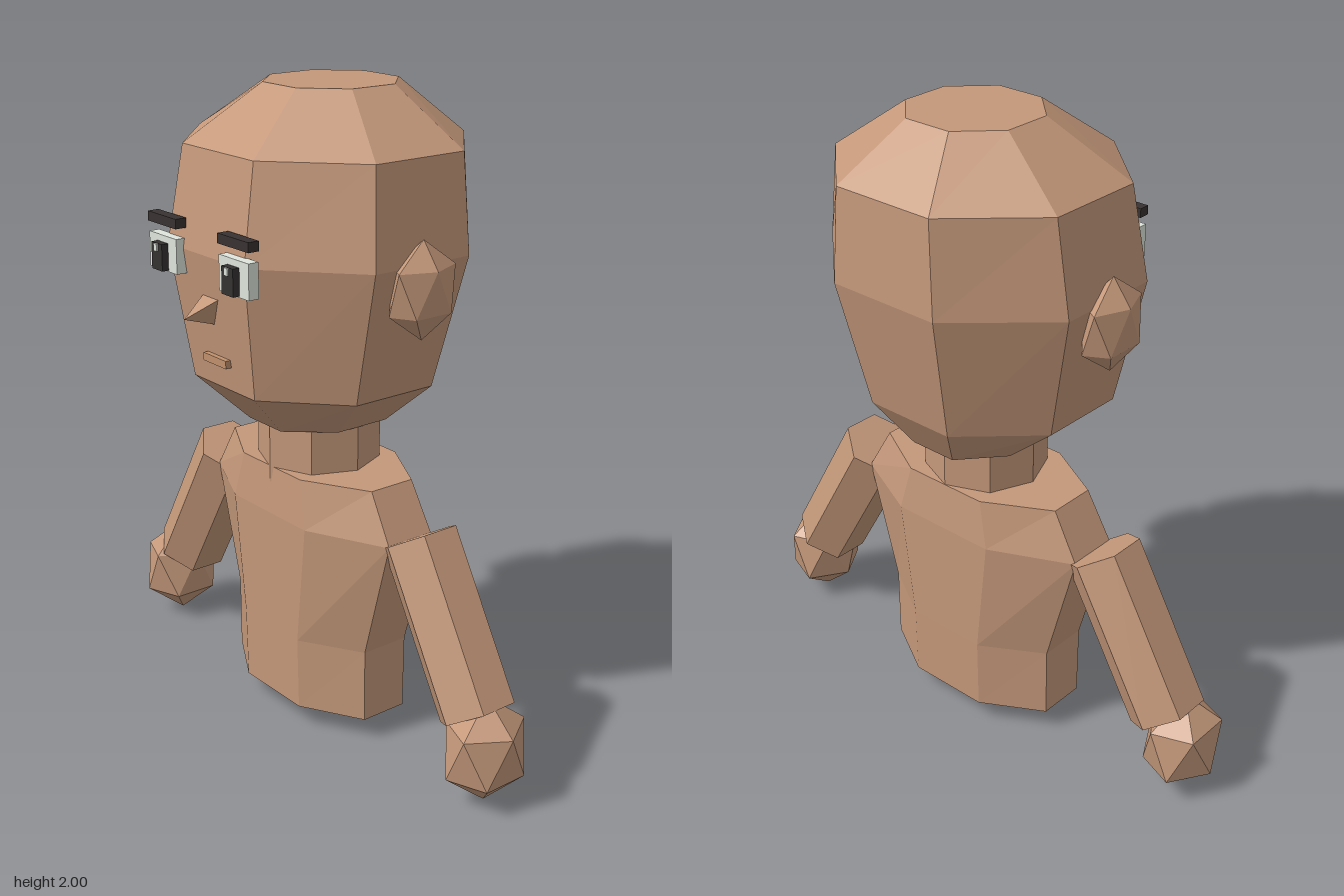
import * as THREE from 'three';

const flat = (name, color) => {
  const m = new THREE.MeshStandardMaterial({ color, flatShading: true });
  m.name = name;
  return m;
};

// Closed eight-sided loft; each ring is [y, half width, half depth, centre z], bottom to top
function octagonLoft(rings) {
  const pos = [];
  const point = ([y, hx, hz, cz], i) => {
    const a = (i + 0.5) * Math.PI / 4, k = 1 / Math.cos(Math.PI / 8);
    return [Math.cos(a) * hx * k, y, Math.sin(a) * hz * k + cz];
  };
  const tri = (...pts) => pts.forEach((p) => pos.push(...p));
  const last = rings[rings.length - 1], first = rings[0];
  for (let i = 0; i < 8; i++) {
    for (let r = 0; r < rings.length - 1; r++) {
      const a = point(rings[r], i), b = point(rings[r], i + 1);
      const c = point(rings[r + 1], i), d = point(rings[r + 1], i + 1);
      tri(a, c, b);
      tri(b, c, d);
    }
    tri([0, last[0], last[3]], point(last, i + 1), point(last, i));
    tri([0, first[0], first[3]], point(first, i), point(first, i + 1));
  }
  const g = new THREE.BufferGeometry();
  g.setAttribute('position', new THREE.Float32BufferAttribute(pos, 3));
  g.computeVertexNormals();
  return g;
}

// Icosahedron standing on a corner, with an upper corner turned towards +x or -x
function facetedBall(rx, ry, rz, side) {
  const g = new THREE.IcosahedronGeometry(1, 0);
  g.rotateX(-Math.atan((1 + Math.sqrt(5)) / 2));
  g.rotateY(side * Math.PI / 2);
  g.scale(rx, ry, rz);
  return g;
}

export function createModel() {
  const model = new THREE.Group();
  model.name = 'bust';
  const skin = flat('skin', 0xc4987a);
  const lip = flat('lip', 0xc0906c);
  const eyeWhite = flat('eyeWhite', 0xdfe5dc);
  const dark = flat('dark', 0x353131);
  const browColor = flat('brow', 0x3a3232);

  const add = (name, geometry, material, x = 0, y = 0, z = 0) => {
    const mesh = new THREE.Mesh(geometry, material);
    mesh.name = name;
    mesh.position.set(x, y, z);
    model.add(mesh);
    return mesh;
  };
  const box = (name, material, x, y, z, w, h, d) =>
    add(name, new THREE.BoxGeometry(w, h, d), material, x, y, z);
  const cx = -0.006;

  // Head, neck and torso
  add('head', octagonLoft([
    [0.99, 0.19, 0.222, -0.047],
    [1.14, 0.365, 0.344, -0.021],
    [1.545, 0.457, 0.418, -0.037],
    [1.835, 0.416, 0.389, -0.056],
    [2.0, 0.19, 0.19, -0.075],
  ]), skin, cx);
  add('neck', new THREE.CylinderGeometry(0.19, 0.19, 0.25, 8), skin, cx, 0.925, -0.031);
  add('torso', octagonLoft([
    [0.075, 0.326, 0.188, -0.034],
    [0.31, 0.326, 0.194, -0.034],
    [0.7, 0.432, 0.2, -0.035],
    [0.85, 0.345, 0.188, -0.034],
  ]), skin, cx);

  // Ears, arms and hands
  for (const side of [1, -1]) {
    const label = side > 0 ? 'left' : 'right';
    add(label + 'Ear', facetedBall(0.07, 0.145, 0.123, side), skin, cx + side * 0.463, 1.475, -0.03);
    const arm = add(label + 'Arm', new THREE.CylinderGeometry(0.122, 0.122, 0.535, 6), skin,
      cx + side * 0.603, 0.496, -0.036);
    arm.rotation.z = side * Math.PI / 6;
    arm.scale.x = 0.97;
    add(label + 'Hand', facetedBall(0.123, 0.17, 0.142, 1), skin, cx + side * 0.789, 0.175, -0.022);
  }

  // Eyes with pupils and glints, and brows
  for (const side of [1, -1]) {
    const label = side > 0 ? 'left' : 'right';
    const ex = -0.009 + side * 0.176;
    box(label + 'Eye', eyeWhite, ex, 1.523, 0.388, 0.14, 0.104, 0.034);
    box(label + 'Pupil', dark, ex, 1.515, 0.415, 0.054, 0.08, 0.024);
    box(label + 'Glint', eyeWhite, ex, 1.543, 0.429, 0.016, 0.022, 0.008);
    box(label + 'Brow', browColor, ex, 1.62, 0.389, 0.145, 0.029, 0.036);
  }

  // Three-sided nose pointing forward with one base corner down
  const nose = new THREE.ConeGeometry(1, 0.11, 3);
  nose.rotateX(Math.PI / 2);
  nose.scale(0.052, 0.063, 1);
  const p = nose.attributes.position;
  for (let i = 0; i < p.count; i++) if (p.getZ(i) > 0) p.setY(i, -0.028);
  add('nose', nose, skin, -0.009, 1.398, 0.4);

  box('mouth', lip, -0.008, 1.228, 0.337, 0.112, 0.024, 0.034);
  return model;
}
